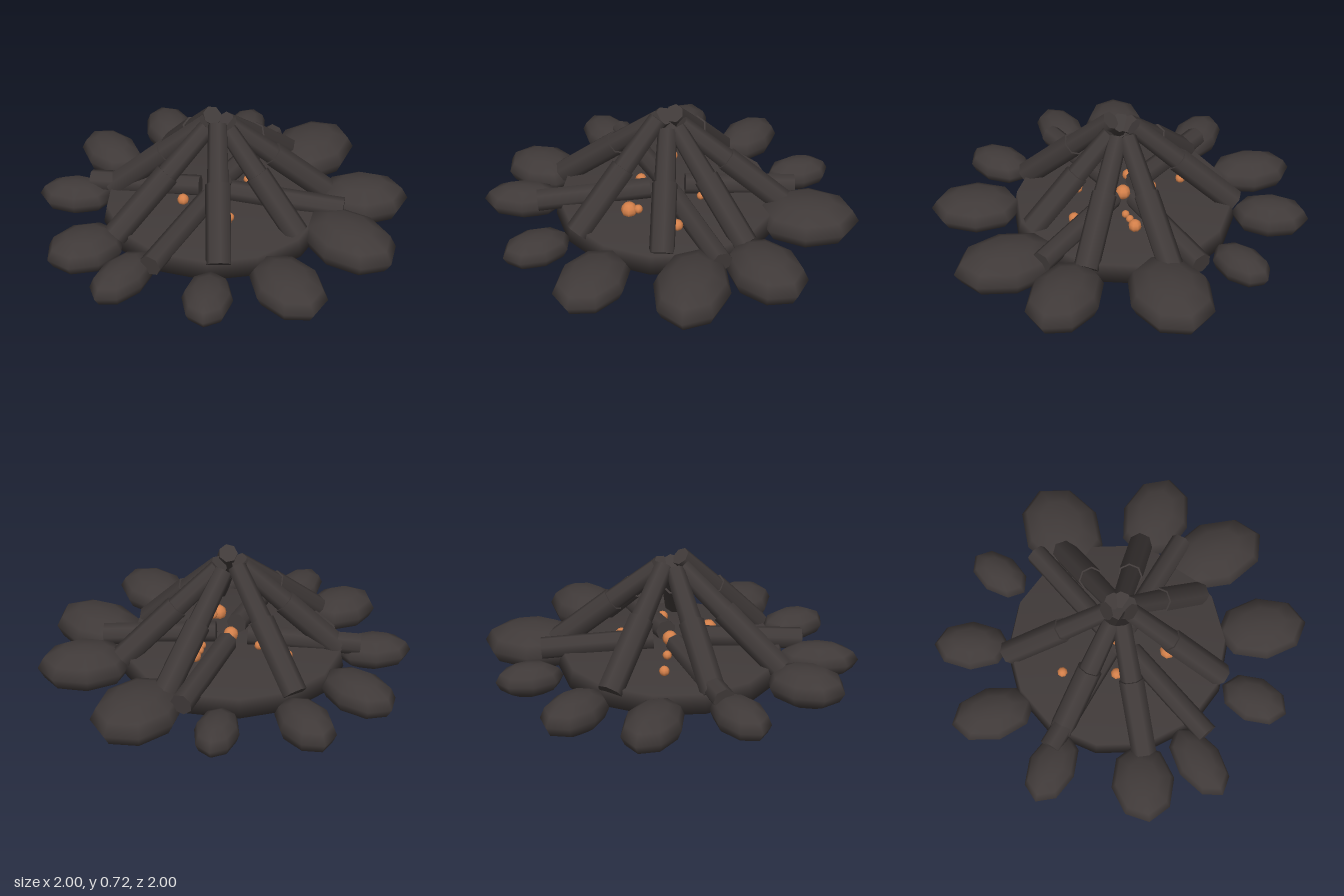
import * as THREE from 'three';

const charcoal = new THREE.MeshStandardMaterial({ color: 0x403a39 });
charcoal.name = 'charcoal';
const glow = new THREE.MeshStandardMaterial({ color: 0xd4804a });
glow.name = 'ember orange';

const UP = new THREE.Vector3(0, 1, 0);

function add(group, name, geometry, material) {
  const mesh = new THREE.Mesh(geometry, material);
  mesh.name = name;
  group.add(mesh);
  return mesh;
}

// Tapered round piece running from point a to point b
function wood(group, name, a, b, ra, rb) {
  const dir = b.clone().sub(a);
  const mesh = add(group, name, new THREE.CylinderGeometry(rb, ra, dir.length(), 7), charcoal);
  mesh.position.copy(a).add(b).multiplyScalar(0.5);
  mesh.quaternion.setFromUnitVectors(UP, dir.normalize());
}

export function createModel() {
  const model = new THREE.Group();
  model.name = 'campfire';

  // Ash bed: a closed disc with a soft, slightly flared rim
  const profile = [[0, 0.09], [0.61, 0.09], [0.59, 0.19], [0, 0.19]].map(([r, y]) => new THREE.Vector2(r, y));
  const bed = add(model, 'ashBed', new THREE.LatheGeometry(profile, 14), charcoal);
  bed.position.x = -0.06;
  bed.rotation.y = Math.PI / 2;

  // Ring of stones: x, z, angle in degrees, half length, half width, half height
  const stones = [
    [-0.21, -0.79, 261, 0.21, 0.14, 0.105],
    [0.235, -0.735, 297, 0.18, 0.115, 0.09],
    [0.57, -0.445, 320, 0.28, 0.22, 0.125],
    [0.745, 0.065, 8, 0.255, 0.19, 0.125],
    [0.585, 0.435, 54, 0.29, 0.2, 0.125],
    [0.195, 0.765, 71, 0.25, 0.18, 0.105],
    [-0.22, 0.79, 105, 0.19, 0.13, 0.088],
    [-0.62, 0.555, 135, 0.22, 0.125, 0.095],
    [-0.79, 0.28, 160, 0.215, 0.17, 0.105],
    [-0.8, -0.215, 193, 0.205, 0.13, 0.095],
    [-0.57, -0.59, 243, 0.23, 0.15, 0.105]
  ];
  const stoneGeometry = new THREE.SphereGeometry(1, 8, 6);
  for (const [x, z, angle, a, b, h] of stones) {
    const stone = add(model, 'stone', stoneGeometry, charcoal);
    stone.position.set(x, 0.13, z);
    stone.scale.set(a, h, b);
    stone.rotation.y = -THREE.MathUtils.degToRad(angle);
  }

  // Leaning logs: foot x, foot z, top height; thick lower part, thin upper part
  const leaning = [
    [-0.225, -0.575, 0.67], [0.43, -0.41, 0.64], [0.55, 0.015, 0.64], [0.315, 0.39, 0.64],
    [-0.13, 0.585, 0.69], [-0.63, 0.255, 0.65], [-0.6, -0.205, 0.65]
  ];
  for (const [x, z, height] of leaning) {
    const log = new THREE.Group();
    log.name = 'leaningLog';
    const foot = new THREE.Vector3(x, 0.175, z);
    const out = new THREE.Vector3(x + 0.045, 0, z).normalize();
    const tip = new THREE.Vector3(-0.045, height, 0.005).addScaledVector(out, 0.065);
    wood(log, 'lowerPart', foot, foot.clone().lerp(tip, 0.57), 0.068, 0.068);
    wood(log, 'upperPart', foot.clone().lerp(tip, 0.52), tip, 0.059, 0.051);
    model.add(log);
  }

  // Fallen logs lying across the bed
  for (const [x, z] of [[0.6, 0.24], [-0.48, 0.57], [-0.71, -0.24], [0.37, -0.55]]) {
    const foot = new THREE.Vector3(x, 0.2, z);
    const tip = new THREE.Vector3(-0.05 + x * 0.12, 0.24, z * 0.15);
    wood(model, 'fallenLog', foot, tip, 0.06, 0.058);
  }

  // Embers: x, y, z, radius
  const embers = [
    [-0.05, 0.23, 0, 0.042], [-0.29, 0.21, -0.26, 0.028], [-0.17, 0.215, -0.13, 0.025],
    [0.19, 0.215, -0.14, 0.036], [0.13, 0.23, -0.07, 0.022], [0.15, 0.22, -0.1, 0.022],
    [0.22, 0.21, 0.19, 0.032], [-0.06, 0.21, 0.28, 0.045], [-0.02, 0.22, 0.25, 0.025],
    [-0.24, 0.205, 0.03, 0.032]
  ];
  const emberGeometry = new THREE.SphereGeometry(1, 8, 6);
  for (const [x, y, z, r] of embers) {
    const ember = add(model, 'ember', emberGeometry, glow);
    ember.position.set(x, y, z);
    ember.scale.setScalar(r);
  }
  return model;
}
